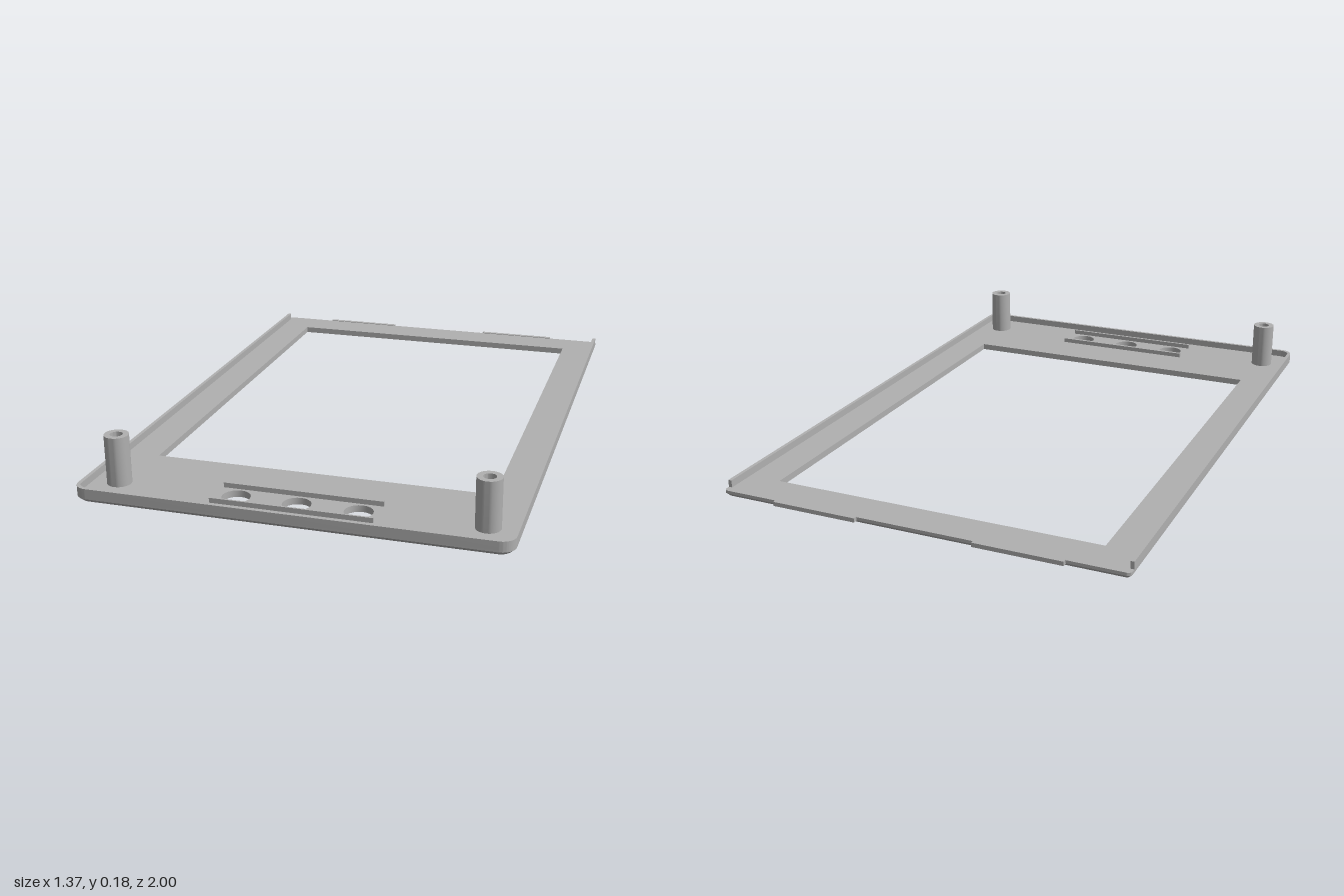
import * as THREE from 'three';
import { mergeGeometries, toCreasedNormals } from 'three/addons/utils/BufferGeometryUtils.js';

const W = 0.683, FRONT = 1.0, BACK = -0.986;
const PLATE = 0.022, RIM_TOP = 0.046, CHAMFER = 0.012, WALL = 0.012;

const grey = new THREE.MeshStandardMaterial({ color: 0xb0b0b0 });
grey.name = 'grey plastic';

// Shapes are drawn in (x, z) and laid flat so that shape depth runs downwards.
const layFlat = (geo) => geo.rotateX(Math.PI / 2);

// Counter-clockwise plate outline: small rear corners, larger front corners.
function outline(inset) {
  const x = W - inset, b = BACK + inset, f = FRONT - inset;
  const rb = 0.014 - inset * 0.6, rf = 0.045 - inset * 0.6;
  const s = new THREE.Shape();
  s.absarc(-x + rb, b + rb, rb, Math.PI, Math.PI * 1.5);
  s.absarc(x - rb, b + rb, rb, -Math.PI / 2, 0);
  s.absarc(x - rf, f - rf, rf, 0, Math.PI / 2);
  s.absarc(-x + rf, f - rf, rf, Math.PI / 2, Math.PI);
  s.closePath();
  return s;
}

// Clockwise openings: the screen window and three button holes.
function openings() {
  const win = new THREE.Path();
  win.moveTo(-0.56, -0.86).lineTo(-0.56, 0.645).lineTo(0.56, 0.645).lineTo(0.56, -0.86).closePath();
  const holes = [-0.195, 0, 0.195].map((x) => {
    const p = new THREE.Path();
    p.absarc(x, 0.875, 0.045, 0, Math.PI * 2, true);
    return p;
  });
  return [win, ...holes];
}

// Wall joining two matching loops at heights y0 (upper) and y1 (lower).
function wall(upper, y0, lower, y1) {
  const v = [];
  for (let i = 0; i < upper.length - 1; i++) {
    const a = upper[i], b = upper[i + 1], c = lower[i + 1], d = lower[i];
    v.push(a.x, a.y, -y0, b.x, b.y, -y0, c.x, c.y, -y1);
    v.push(a.x, a.y, -y0, c.x, c.y, -y1, d.x, d.y, -y1);
  }
  const g = new THREE.BufferGeometry();
  g.setAttribute('position', new THREE.Float32BufferAttribute(v, 3));
  return g;
}

// Flat face of the plate, facing down unless flipped.
function face(inset, y, up) {
  const s = outline(inset);
  s.holes = openings();
  const g = new THREE.ShapeGeometry(s, 10).translate(0, 0, -y);
  if (up) g.setIndex([...g.index.array].reverse());
  const flat = g.toNonIndexed();
  flat.deleteAttribute('uv');
  flat.deleteAttribute('normal');
  return flat;
}

function plateGeometry() {
  const full = outline(0).getPoints(10), small = outline(CHAMFER).getPoints(10);
  const parts = [
    face(0, PLATE, true),
    face(CHAMFER, 0, false),
    wall(full, PLATE, full, CHAMFER),
    wall(full, CHAMFER, small, 0),
  ];
  for (const h of openings()) {
    const p = h.getPoints(10);
    parts.push(wall(p, PLATE, p, 0));
  }
  const g = layFlat(mergeGeometries(parts));
  g.computeVertexNormals();
  return toCreasedNormals(g, 0.5);
}

// U-shaped lip along both sides and the front.
function rimGeometry() {
  const r = 0.045, ri = r - WALL, x = W, xi = W - WALL, end = -0.96, fi = FRONT - WALL;
  const s = new THREE.Shape();
  s.moveTo(xi, end).lineTo(x, end);
  s.absarc(x - r, FRONT - r, r, 0, Math.PI / 2);
  s.absarc(-x + r, FRONT - r, r, Math.PI / 2, Math.PI);
  s.lineTo(-x, end).lineTo(-xi, end);
  s.absarc(-xi + ri, fi - ri, ri, Math.PI, Math.PI / 2, true);
  s.absarc(xi - ri, fi - ri, ri, Math.PI / 2, 0, true);
  s.closePath();
  const g = new THREE.ExtrudeGeometry(s, { depth: RIM_TOP - PLATE, bevelEnabled: false, curveSegments: 10 });
  return toCreasedNormals(layFlat(g).translate(0, RIM_TOP, 0), 0.5);
}

// Round post with a blind screw hole.
function postGeometry() {
  const profile = [[0.039, PLATE], [0.039, 0.184], [0.02, 0.184], [0.02, 0.04], [0, 0.04]];
  const g = new THREE.LatheGeometry(profile.map(([x, y]) => new THREE.Vector2(x, y)), 32);
  return toCreasedNormals(g, 0.5);
}

export function createModel() {
  const model = new THREE.Group();
  model.name = 'screenBezel';
  const add = (name, geo, x = 0, y = 0, z = 0) => {
    const m = new THREE.Mesh(geo, grey);
    m.name = name;
    m.position.set(x, y, z);
    model.add(m);
  };

  add('facePlate', plateGeometry());
  add('rim', rimGeometry());

  // Mirrored posts and rear tabs
  for (const [side, sx] of [['left', 1], ['right', -1]]) {
    add(side + 'Post', postGeometry(), sx * 0.585, 0, 0.875);
    add(side + 'Tab', new THREE.BoxGeometry(0.29, 0.014, 0.016), sx * 0.342, 0.017, -0.992);
  }

  // Guide ridges either side of the buttons
  add('rearRidge', new THREE.BoxGeometry(0.515, 0.016, 0.012), 0, PLATE + 0.008, 0.815);
  add('frontRidge', new THREE.BoxGeometry(0.515, 0.016, 0.006), 0, PLATE + 0.008, 0.935);
  return model;
}
